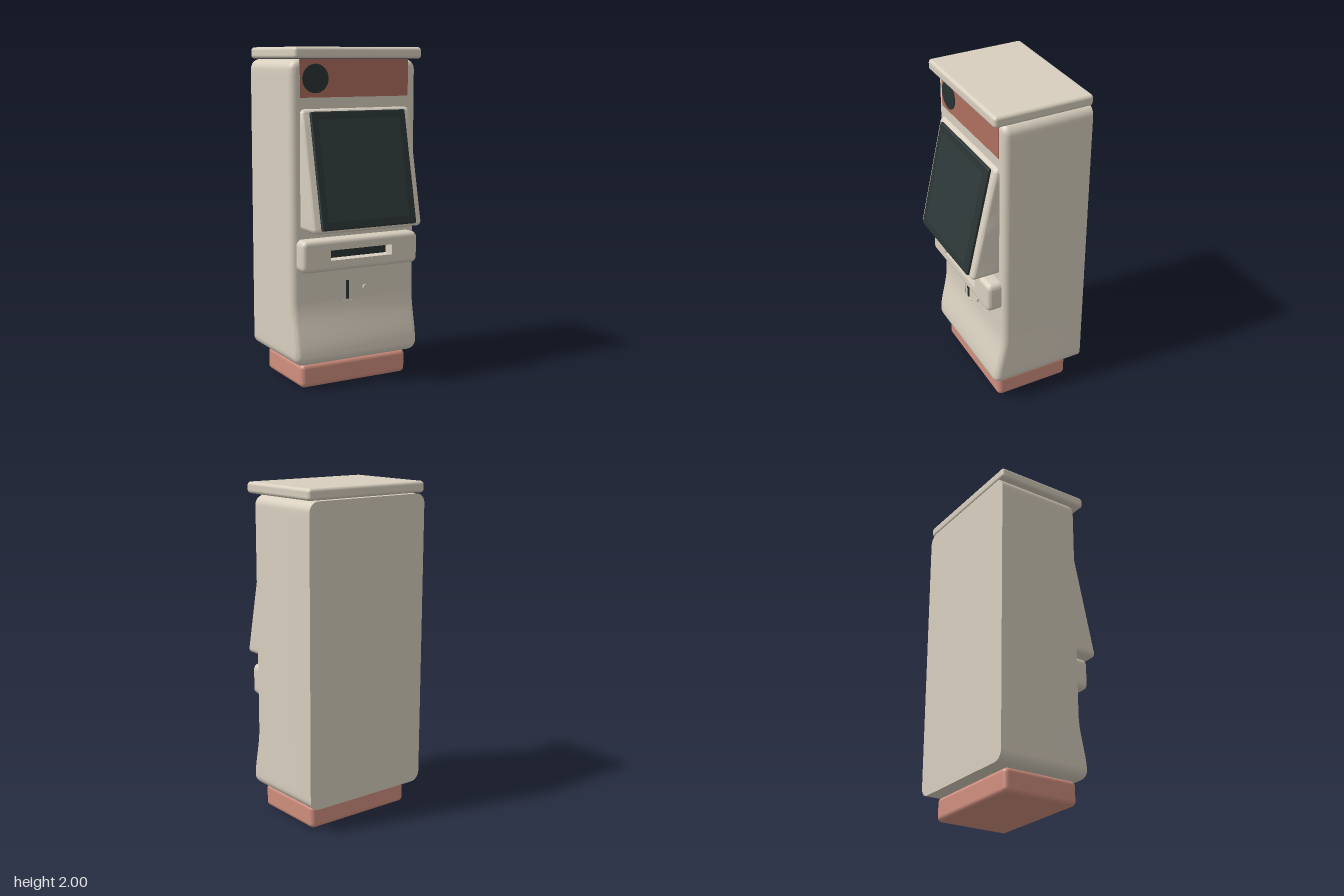
import * as THREE from 'three';
import { toCreasedNormals } from 'three/addons/utils/BufferGeometryUtils.js';
import { RoundedBoxGeometry } from 'three/addons/geometries/RoundedBoxGeometry.js';

// Right half of a rounded rectangle outline, from the top edge down to the bottom edge.
function halfOutline(hw, y0, y1, r, inset, rows) {
  const pts = [], q = r - inset, arc = 8;
  for (let i = 0; i <= arc; i++) {
    const a = Math.PI / 2 * (1 - i / arc);
    pts.push([hw - r + q * Math.cos(a), y1 - r + q * Math.sin(a)]);
  }
  for (let i = 1; i < rows; i++) pts.push([hw - inset, y1 - r + (y0 - y1 + 2 * r) * i / rows]);
  for (let i = 0; i <= arc; i++) {
    const a = -Math.PI / 2 * i / arc;
    pts.push([hw - r + q * Math.cos(a), y0 + r + q * Math.sin(a)]);
  }
  return pts;
}

// Solid with a flat back and a front that is rounded off and follows z = front(y).
function shell({ hw, y0, y1, r, bevel, back, front, rows = 4, cap = true }) {
  const steps = 6, pos = [], idx = [];
  let m = 0;
  const ring = (inset, zAt) => {
    const half = halfOutline(hw, y0, y1, r, inset, rows);
    m = half.length;
    half.forEach(([x, y]) => pos.push(x, y, zAt(y)));
    half.reverse().forEach(([x, y]) => pos.push(-x, y, zAt(y)));
  };
  ring(0, () => back);
  for (let k = 0; k <= steps; k++) {
    const a = Math.PI / 2 * k / steps;
    ring(bevel * (1 - Math.cos(a)), y => front(y) - bevel * (1 - Math.sin(a)));
  }
  const n = 2 * m, last = (steps + 1) * n;
  for (let j = 0; j <= steps; j++) {
    for (let i = 0; i < n; i++) {
      const a = j * n + i, b = j * n + (i + 1) % n, c = b + n, d = a + n;
      idx.push(a, d, c, a, c, b);
    }
  }
  for (let i = 0; i < m - 1; i++) {
    const R = i, R2 = i + 1, L = n - 1 - i, L2 = n - 2 - i;
    if (cap) idx.push(last + R, last + L, last + L2, last + R, last + L2, last + R2);
    idx.push(R, L2, L, R, R2, L2);
  }
  const g = new THREE.BufferGeometry();
  g.setAttribute('position', new THREE.Float32BufferAttribute(pos, 3));
  g.setIndex(idx);
  return toCreasedNormals(g, 0.6);
}

export function createModel() {
  const model = new THREE.Group();
  const material = (name, color) => {
    const m = new THREE.MeshStandardMaterial({ color });
    m.name = name;
    return m;
  };
  const cream = material('cream', 0xd8cfbf);
  const coral = material('coral', 0xd08f7e);
  const rust = material('rust', 0xae6e5e);
  const dark = material('dark slate', 0x2a3333);
  const glass = material('screen glass', 0x2f3939);

  const add = (name, geometry, mat, x = 0, y = 0, z = 0, parent = model) => {
    const mesh = new THREE.Mesh(geometry, mat);
    mesh.name = name;
    mesh.position.set(x, y, z);
    parent.add(mesh);
    return mesh;
  };
  const box = (w, h, d) => new THREE.BoxGeometry(w, h, d);
  const rounded = (w, h, d, r) => new RoundedBoxGeometry(w, h, d, 4, r);

  // Plinth, cabinet with a flared foot, and overhanging lid
  add('base', rounded(0.72, 0.145, 0.48, 0.03), coral, 0, 0.0725, -0.06);
  add('cabinet', shell({
    hw: 0.42, y0: 0.15, y1: 1.93, r: 0.06, bevel: 0.04, back: -0.367, rows: 48,
    front: y => 0.178 + 0.05 * THREE.MathUtils.smoothstep(0.52 - y, 0, 0.34),
  }), cream);
  add('lid', rounded(0.844, 0.067, 0.605, 0.02), cream, 0, 1.9665, -0.0645);

  // Header panel with a round speaker
  add('headerPanel', box(0.72, 0.216, 0.008), rust, -0.002, 1.822, 0.177);
  const speaker = add('speaker', new THREE.CylinderGeometry(0.083, 0.083, 0.009, 40), dark, -0.264, 1.822, 0.1825);
  speaker.rotation.x = Math.PI / 2;

  // Wedge housing and tilted screen
  const slope = 0.2195, midY = 1.302;
  add('screenHousing', shell({
    hw: 0.362, y0: 0.95, y1: 1.65, r: 0.03, bevel: 0.022, back: 0.165, rows: 8,
    front: y => 0.274 - slope * (y - midY),
  }), cream);
  const screen = new THREE.Group();
  screen.name = 'screen';
  screen.position.set(0, midY, 0.281);
  screen.rotation.x = -Math.atan(slope);
  model.add(screen);
  add('screenFrame', rounded(0.63, 0.682, 0.022, 0.009), dark, 0, 0, 0, screen);
  add('screenGlass', box(0.535, 0.585, 0.004), glass, 0, 0, 0.0105, screen);

  // Tray with a recessed slot: rounded rim plus a pierced front plate
  const tray = { hw: 0.388, y0: 0.71, y1: 0.9, r: 0.035, bevel: 0.026 };
  const trayFront = 0.262, trayBack = 0.17;
  add('trayRim', shell({ ...tray, back: trayBack, front: () => trayFront, cap: false }), cream);
  const half = halfOutline(tray.hw, tray.y0, tray.y1, tray.r, tray.bevel, 4);
  const face = new THREE.Shape([
    ...half.map(([x, y]) => new THREE.Vector2(x, y)),
    ...half.slice().reverse().map(([x, y]) => new THREE.Vector2(-x, y)),
  ]);
  const slotW = 0.207, slotLow = 0.775, slotHigh = 0.835;
  face.holes.push(new THREE.Path([
    new THREE.Vector2(-slotW, slotLow), new THREE.Vector2(slotW, slotLow),
    new THREE.Vector2(slotW, slotHigh), new THREE.Vector2(-slotW, slotHigh),
  ]));
  add('trayFace', new THREE.ExtrudeGeometry(face, { depth: trayFront - trayBack, bevelEnabled: false }), cream, 0, 0, trayBack);
  add('traySlot', box(2 * slotW, slotHigh - slotLow, 0.008), dark, 0, (slotLow + slotHigh) / 2, 0.182);

  // Coin slot with its raised edges, and a small button
  add('coinEdge', box(0.008, 0.155, 0.008), cream, -0.103, 0.577, 0.178);
  add('coinSill', box(0.09, 0.005, 0.006), cream, -0.062, 0.502, 0.178);
  add('coinSlot', box(0.015, 0.113, 0.009), dark, -0.053, 0.572, 0.181);
  const button = add('button', new THREE.CylinderGeometry(0.018, 0.018, 0.02, 24), cream, 0.07, 0.574, 0.18);
  button.rotation.x = Math.PI / 2;

  return model;
}
